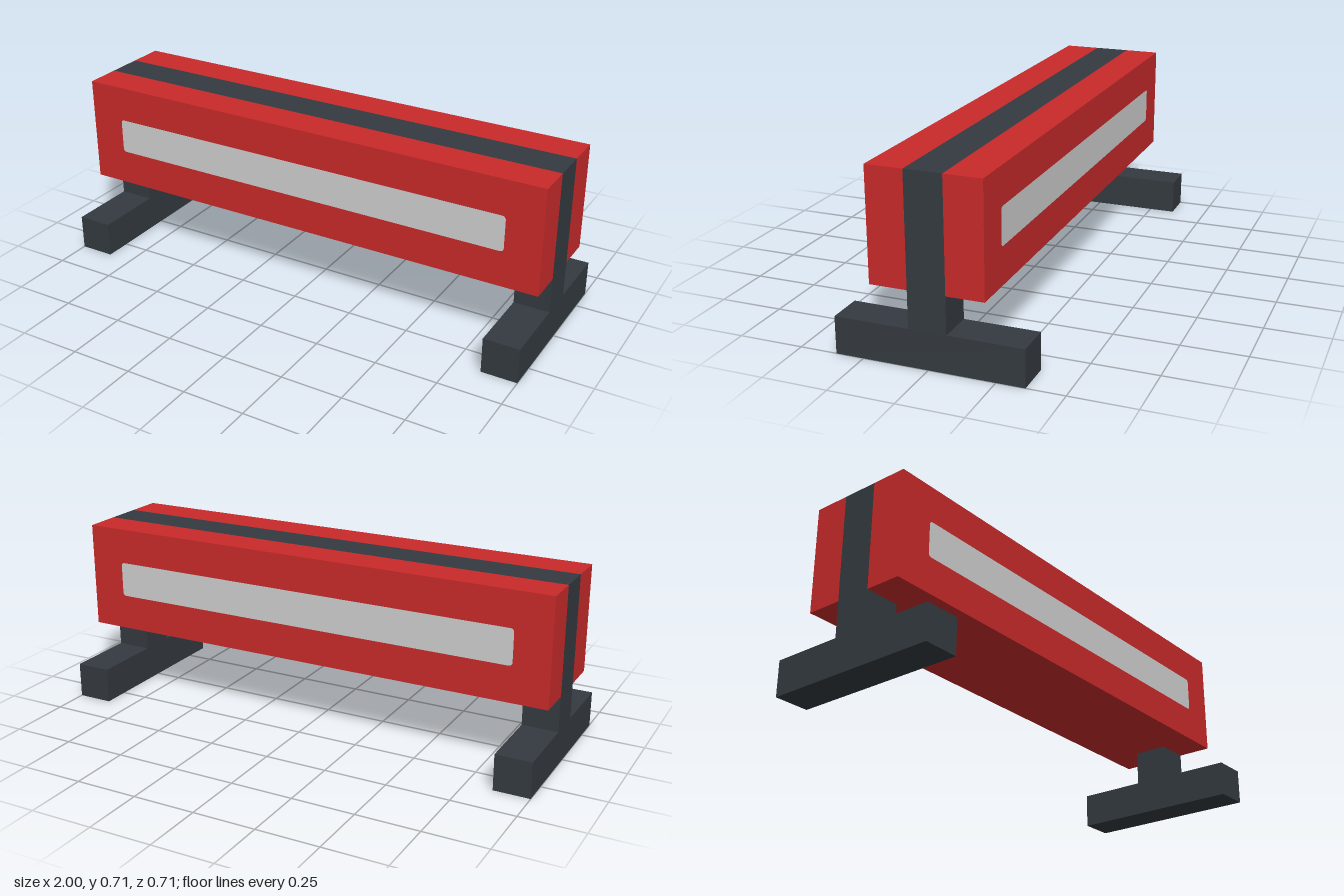
import * as THREE from 'three';

const U = 1 / 7; // module size that all parts share

export function createModel() {
  const model = new THREE.Group();
  model.name = 'barrier';

  const material = (name, color) => {
    const m = new THREE.MeshStandardMaterial({ color });
    m.name = name;
    return m;
  };
  const red = material('red', 0xc92a2a);
  const dark = material('charcoal', 0x343a40);
  const grey = material('lightGrey', 0xcfcfcf);

  const box = (name, size, position, mat) => {
    const mesh = new THREE.Mesh(new THREE.BoxGeometry(...size), mat);
    mesh.name = name;
    mesh.position.set(...position);
    model.add(mesh);
  };

  // Beam: charcoal core, red underneath, between two red slabs
  box('beamCore', [2, 3 * U, U], [0, 3.5 * U, 0], [dark, dark, dark, red, dark, dark]);
  box('frontSlab', [2, 3 * U, U], [0, 3.5 * U, U], red);
  box('backSlab', [2, 3 * U, U], [0, 3.5 * U, -U], red);

  // Supports: a foot and a short post at each end
  for (const [side, s] of [['left', 1], ['right', -1]]) {
    const x = s * 6.5 * U;
    box(side + 'Foot', [U, U, 5 * U], [x, U / 2, 0], dark);
    box(side + 'Post', [U, U, U], [x, 1.5 * U, 0], dark);
  }

  // Inlay panels with slightly rounded corners
  const w = 6 * U, h = U / 2, r = 0.014;
  const outline = new THREE.Shape();
  outline.absarc(w - r, h - r, r, 0, Math.PI / 2);
  outline.absarc(-w + r, h - r, r, Math.PI / 2, Math.PI);
  outline.absarc(-w + r, -h + r, r, Math.PI, Math.PI * 1.5);
  outline.absarc(w - r, -h + r, r, Math.PI * 1.5, Math.PI * 2);
  const panelGeometry = new THREE.ShapeGeometry(outline, 4);
  for (const [name, s] of [['frontPanel', 1], ['backPanel', -1]]) {
    const panel = new THREE.Mesh(panelGeometry, grey);
    panel.name = name;
    panel.position.set(0, 3.5 * U, s * (1.5 * U + 0.001));
    if (s < 0) panel.rotation.y = Math.PI;
    model.add(panel);
  }

  return model;
}
